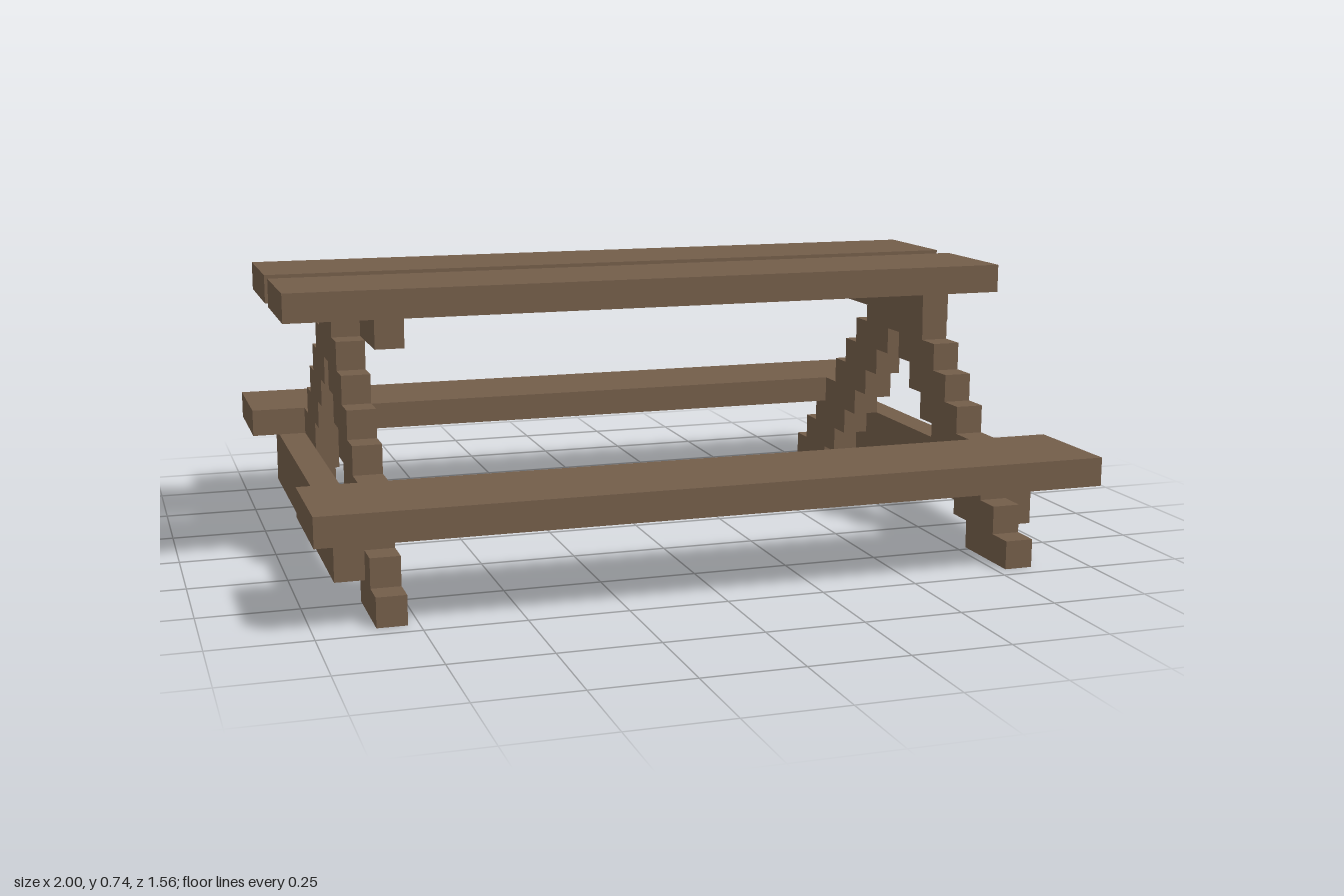
import * as THREE from 'three';

const U = 2 / 27; // one block of the grid the table is built on

export function createModel() {
  const table = new THREE.Group();
  table.name = 'picnicTable';
  const wood = new THREE.MeshStandardMaterial({ color: 0x735d49 });
  wood.name = 'brown wood';

  // Box from block limits; x counts from the right end, z from the middle
  function beam(name, x0, x1, y0, y1, z0, z1) {
    const geometry = new THREE.BoxGeometry((x1 - x0) * U, (y1 - y0) * U, (z1 - z0) * U);
    const mesh = new THREE.Mesh(geometry, wood);
    mesh.name = name;
    mesh.position.set(((x0 + x1) / 2 - 13.5) * U, ((y0 + y1) / 2) * U, ((z0 + z1) / 2) * U);
    table.add(mesh);
  }

  // Stepped A-frame outline: outer steps up and over, then inner steps back
  function legGeometry() {
    const right = [], innerLeft = [];
    for (let r = 0; r < 9; r++) {
      right.push([9.5 - r, r], [9.5 - r, r + 1]);
      if (r < 7) innerLeft.push([r - 6.5, r], [r - 6.5, r + 1]);
    }
    const mirror = (points) => points.map(([z, y]) => [-z, y]).reverse();
    const outline = [...right, ...mirror(right), ...innerLeft, ...mirror(innerLeft)];
    const shape = new THREE.Shape(outline.map(([z, y]) => new THREE.Vector2(z * U, y * U)));
    const geometry = new THREE.ExtrudeGeometry(shape, { depth: U, bevelEnabled: false });
    return geometry.rotateY(Math.PI / 2);
  }

  // Table top and benches
  beam('frontTopPlank', 0, 26, 9, 10, 0.5, 4.5);
  beam('backTopPlank', 0, 26, 9, 10, -4.5, -0.5);
  beam('frontBench', 0, 27, 3, 4, 6.5, 10.5);
  beam('backBench', 0, 27, 3, 4, -10.5, -6.5);

  // A-frame legs with an outer bench support and an inner top support
  const legs = legGeometry();
  for (const [side, leg, out, inn] of [['right', 2, 1, 3], ['left', 24, 25, 23]]) {
    const frame = new THREE.Mesh(legs, wood);
    frame.name = side + 'LegFrame';
    frame.position.x = (leg - 13.5) * U;
    table.add(frame);
    beam(side + 'BenchSupport', out, out + 1, 1, 3, -7.5, 7.5);
    beam(side + 'TopSupport', inn, inn + 1, 8, 9, -4.5, 4.5);
  }
  return table;
}
